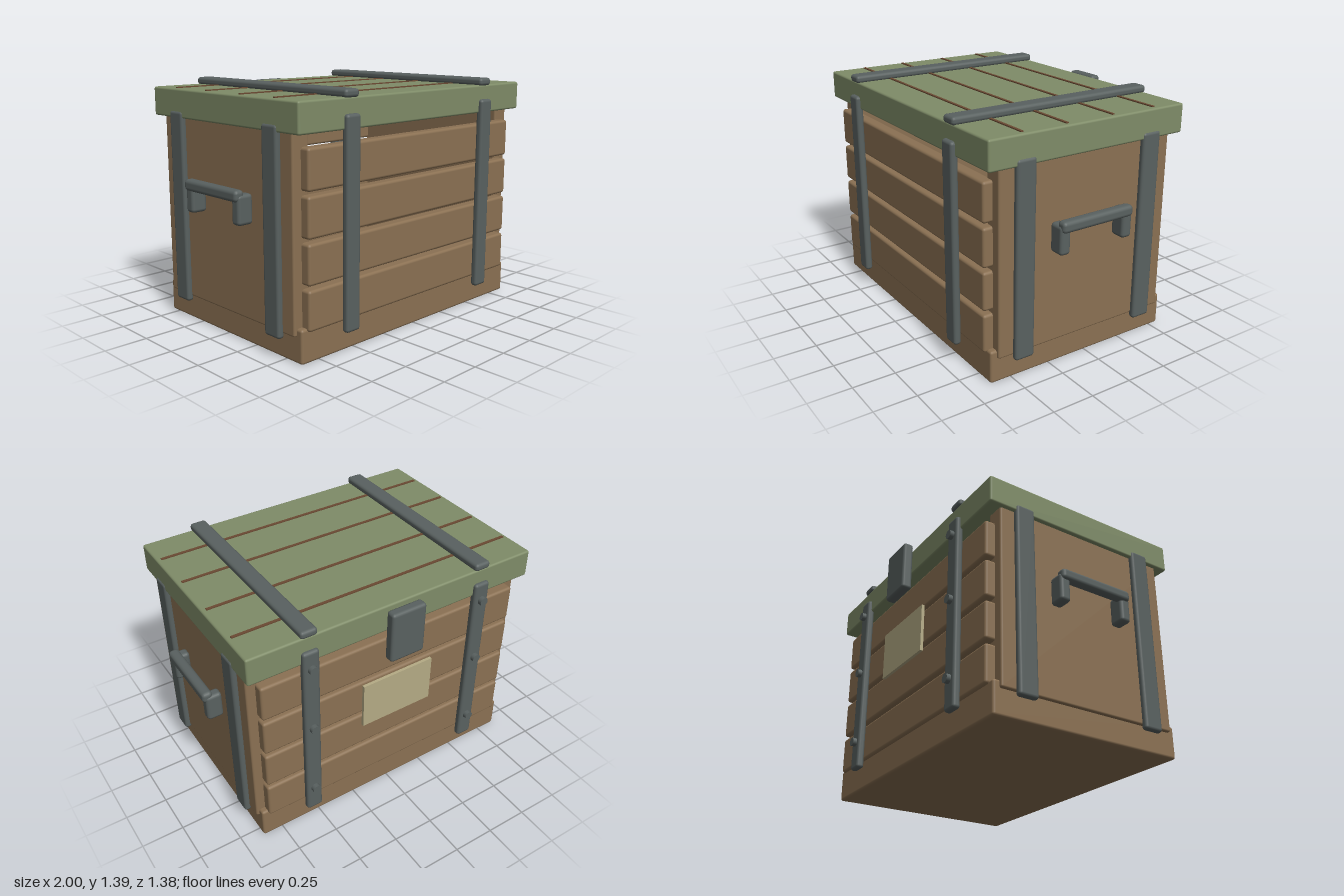
import * as THREE from 'three';
import { RoundedBoxGeometry } from 'three/addons/geometries/RoundedBoxGeometry.js';

const paint = (name, color) => {
  const m = new THREE.MeshStandardMaterial({ color });
  m.name = name;
  return m;
};

export function createModel() {
  const wood = paint('brown wood', 0x8b7153);
  const green = paint('green lid paint', 0x7f8c68);
  const metal = paint('dark grey metal', 0x596160);
  const groove = paint('dark groove brown', 0x6b4a33);
  const paper = paint('beige label', 0xb5ab85);

  const crate = new THREE.Group();
  crate.name = 'crate';

  const place = (name, geometry, material, x, y, z) => {
    const mesh = new THREE.Mesh(geometry, material);
    mesh.name = name;
    mesh.position.set(x, y, z);
    crate.add(mesh);
    return mesh;
  };

  // Box given by its extents, with softly rounded edges unless r is 0
  const block = (name, material, [x0, x1], [y0, y1], [z0, z1], r) => {
    const size = [x1 - x0, y1 - y0, z1 - z0];
    const geometry = r > 0
      ? new RoundedBoxGeometry(...size, 2, r)
      : new THREE.BoxGeometry(...size);
    return place(name, geometry, material, (x0 + x1) / 2, (y0 + y1) / 2, (z0 + z1) / 2);
  };

  // Base and lid
  block('base', wood, [-0.875, 0.875], [0, 0.19], [-0.56, 0.63], 0.015);
  block('lid', green, [-0.915, 0.915], [1.19, 1.355], [-0.6, 0.665], 0.012);
  for (const z of [-0.4, -0.12, 0.18, 0.455]) {
    block('lidGroove', groove, [-0.888, 0.888], [1.353, 1.361], [z - 0.008, z + 0.008], 0);
  }

  // Spaced planks on the front and back
  for (let i = 0; i < 4; i++) {
    const y = 0.172 + i * 0.243;
    block('frontPlank', wood, [-0.838, 0.838], [y, y + 0.22], [0.575, 0.648], 0.016);
    block('backPlank', wood, [-0.838, 0.838], [y, y + 0.22], [-0.58, -0.507], 0.016);
  }

  for (const s of [-1, 1]) {
    const side = (a, b) => (s > 0 ? [a, b] : [-b, -a]);

    // End panel
    block('endPanel', wood, side(0.785, 0.893), [0.145, 1.2], [-0.523, 0.592], 0.012);

    // Straps on the end, front, back and lid
    block('endStrap', metal, side(0.88, 0.923), [0.115, 1.23], [0.383, 0.503], 0.018);
    block('endStrap', metal, side(0.88, 0.923), [0.115, 1.23], [-0.437, -0.317], 0.018);
    block('frontStrap', metal, side(0.51, 0.61), [0.115, 1.27], [0.645, 0.69], 0.018);
    block('backStrap', metal, side(0.51, 0.61), [0.115, 1.27], [-0.623, -0.577], 0.018);
    block('lidStrap', metal, side(0.51, 0.61), [1.35, 1.395], [-0.608, 0.677], 0.018);

    // Bolts on the back strap
    for (const y of [0.285, 0.75, 1.16]) {
      const bolt = new THREE.CylinderGeometry(0.026, 0.026, 0.04, 16).rotateX(Math.PI / 2);
      place('bolt', bolt, metal, s * 0.56, y, -0.628);
    }

    // Carrying handle
    block('handleBar', metal, side(0.938, 1), [0.81, 0.875], [-0.2, 0.268], 0.022);
    block('handleLeg', metal, side(0.888, 0.985), [0.685, 0.85], [0.208, 0.274], 0.02);
    block('handleLeg', metal, side(0.888, 0.985), [0.685, 0.85], [-0.206, -0.14], 0.02);
  }

  // Latch and label on the back
  block('latch', metal, [-0.11, 0.11], [1.04, 1.352], [-0.69, -0.627], 0.018);
  block('label', paper, [-0.232, 0.232], [0.59, 0.88], [-0.62, -0.602], 0);

  return crate;
}
